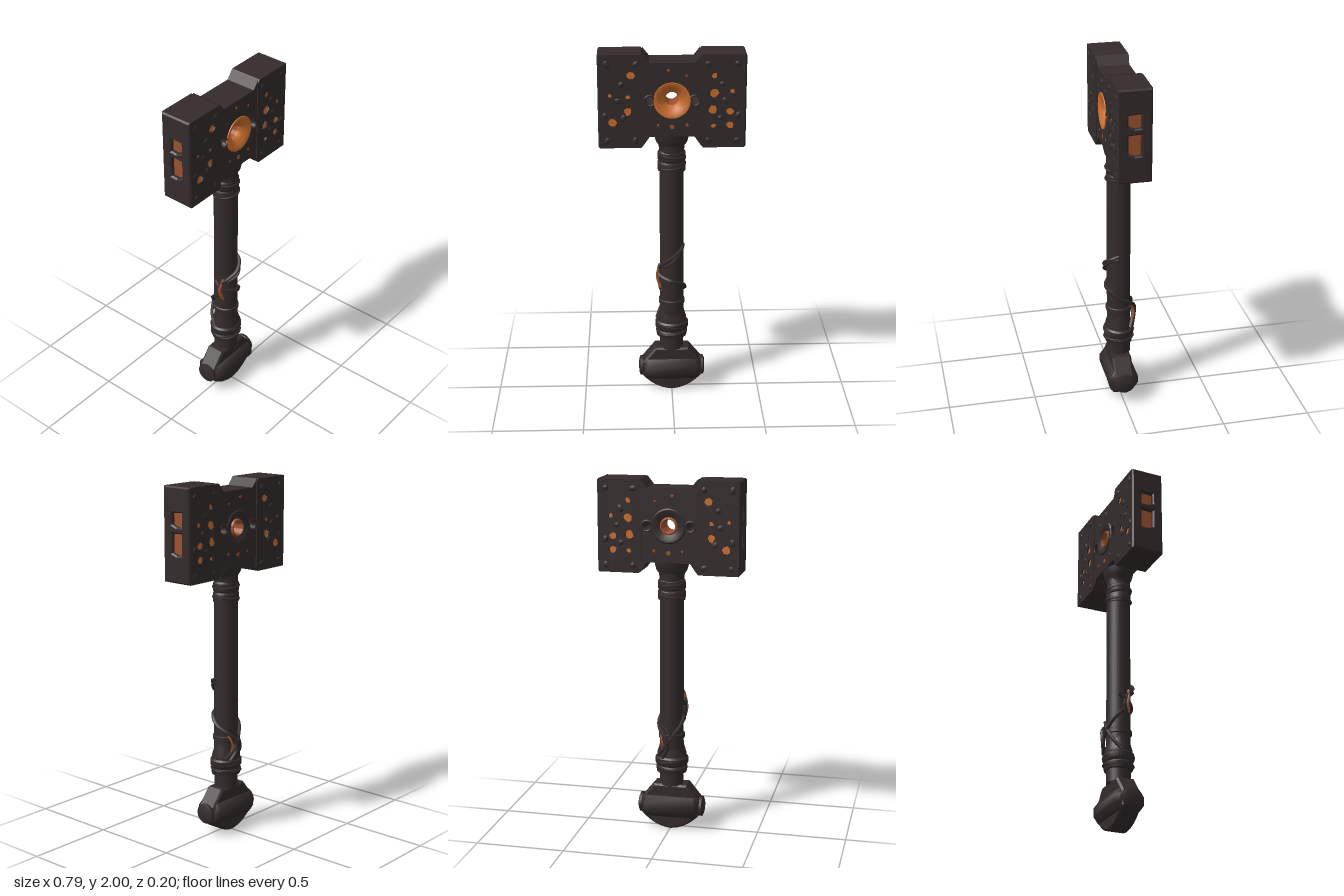
import * as THREE from 'three';
import { toCreasedNormals } from 'three/addons/utils/BufferGeometryUtils.js';

export function createModel() {
  const model = new THREE.Group();
  model.name = 'warHammer';
  const material = (name, color) => {
    const m = new THREE.MeshStandardMaterial({ color, side: THREE.DoubleSide });
    m.name = name;
    return m;
  };
  const iron = material('darkIron', 0x342b2c);
  const ember = material('emberOrange', 0xcc6e2e);
  const rust = material('rustOrange', 0x9c5230);

  let seed = 7;
  const rand = () => (seed = (seed * 16807) % 2147483647) / 2147483647;
  const add = (name, geo, mat = iron, parent = model) => {
    const mesh = new THREE.Mesh(geo, mat);
    mesh.name = name;
    parent.add(mesh);
    return mesh;
  };
  const poly = (pts, Type = THREE.Shape) => new Type(pts.map(p => new THREE.Vector2(...p)));
  // Slab centred on z = 0, bevelled inside its outline
  const slab = (shape, depth, bevel = 0) => new THREE.ExtrudeGeometry(shape, {
    depth: depth - 2 * bevel, bevelEnabled: bevel > 0, bevelSize: bevel, bevelOffset: -bevel,
    bevelThickness: bevel, bevelSegments: 1, curveSegments: 24,
  }).translate(0, 0, -depth / 2 + bevel);
  const circle = (x, y, r) => new THREE.Path().absarc(x, y, r, 0, Math.PI * 2, true);
  // Irregular seven-sided outline
  const chip = (x, y, r, Type) => poly(Array.from({ length: 7 }, (_, i) => {
    const a = i / 7 * Math.PI * 2, k = r * (0.8 + 0.4 * rand());
    return [x + Math.cos(a) * k, y + Math.sin(a) * k];
  }), Type);
  const lathe = (pts, seg = 28) => toCreasedNormals(
    new THREE.LatheGeometry(pts.map(p => new THREE.Vector2(...p)), seg), 0.6);

  // Head: two end blocks with shallow broken pits over glowing cores
  const head = new THREE.Group();
  head.name = 'head';
  model.add(head);
  const pits = {
    right: [[0.225, 1.885, 0.016], [0.225, 1.79, 0.024], [0.215, 1.7, 0.024], [0.31, 1.69, 0.02],
      [0.22, 1.61, 0.013], [0.31, 1.615, 0.02], [0.32, 1.8, 0.014]],
    left: [[-0.22, 1.885, 0.022], [-0.33, 1.78, 0.011], [-0.235, 1.77, 0.013],
      [-0.235, 1.69, 0.022], [-0.32, 1.63, 0.024]],
  };
  for (const [side, s] of [['right', 1], ['left', -1]]) {
    const block = poly([[0.15, 1.51], [0.165, 1.49], [0.369, 1.49], [0.369, 2], [0.165, 2], [0.15, 1.985]]
      .map(([x, y]) => [s * x, y]));
    block.holes = pits[side].map(p => chip(...p, THREE.Path));
    add(side + 'Block', slab(block, 0.184), iron, head);
    add(side + 'Core', new THREE.BoxGeometry(0.2, 0.42, 0.168), [rust, rust, ember, ember, ember, ember], head)
      .position.set(s * 0.272, 1.75, 0);

    // End plate with two windows
    const plate = poly([[-0.092, 1.49], [0.092, 1.49], [0.092, 2], [-0.092, 2]]);
    plate.holes = [[1.64, 1.755], [1.79, 1.865]].map(([a, b]) =>
      poly([[-0.034, a + 0.01], [0, a - 0.003], [0.034, a], [0.034, b], [-0.034, b - 0.004]], THREE.Path));
    add(side + 'EndPlate', slab(plate, 0.036, 0.008).rotateY(Math.PI / 2), iron, head).position.x = s * 0.377;

    // Low lumps beside the pits and at the corners, on both faces
    const spots = [[0.19, 1.95], [0.345, 1.95], [0.19, 1.53], [0.345, 1.53], [0.28, 1.75], [0.35, 1.67],
      [0.255, 1.655], [0.265, 1.84]];
    for (const [x, y] of spots) for (const f of [1, -1]) {
      const lump = add('lump', new THREE.IcosahedronGeometry(0.016, 1), iron, head);
      lump.position.set(s * (x + 0.008 * rand()), y, f * 0.09);
      lump.scale.set(1, 0.8 + 0.7 * rand(), 0.5);
      lump.rotation.z = rand() * 3;
    }
    // Rims around the small through holes
    for (const f of [1, -1]) {
      add('smallHoleRim', new THREE.TorusGeometry(0.028, 0.006, 6, 20), iron, head)
        .position.set(s * 0.12, 1.75, f * 0.086);
    }
  }

  // Head centre with chamfered shoulders, main eye and two small holes
  const centre = poly([[-0.12, 1.55], [0.12, 1.55], [0.155, 1.5], [0.155, 2], [0.12, 1.955],
    [-0.12, 1.955], [-0.155, 2], [-0.155, 1.5]]);
  centre.holes = [circle(0, 1.75, 0.092), circle(0.12, 1.75, 0.022), circle(-0.12, 1.75, 0.022)];
  add('headCentre', slab(centre, 0.174), iron, head);
  const eyePart = (name, pts, mat) =>
    add(name, lathe(pts, 32).rotateX(Math.PI / 2), mat, head).position.y = 1.75;
  eyePart('eyeRing', [[0.036, 0.045], [0.042, 0.062], [0.055, 0.074], [0.075, 0.084], [0.09, 0.092],
    [0.098, 0.092], [0.1, 0.084]], ember);
  eyePart('eyeBore', [[0.05, -0.075], [0.046, -0.088], [0.04, -0.09], [0.036, -0.082], [0.036, 0.045]], rust);
  eyePart('backEyeRim', [[0.1, -0.084], [0.09, -0.093], [0.075, -0.092], [0.048, -0.076], [0.036, -0.072]], iron);
  // Small flecks on the centre faces
  for (const [x, y, r] of [[0, 1.605, 0.013], [-0.075, 1.615, 0.007], [0.08, 1.615, 0.009],
    [-0.02, 1.915, 0.008], [0.075, 1.885, 0.007]]) {
    add('fleck', slab(chip(x, y, r), 0.177), rust, head);
  }

  // Shaft and collars
  add('shaft', new THREE.CylinderGeometry(0.066, 0.067, 1.3, 28).translate(0, 0.91, 0));
  add('upperCollar', lathe([[0.06, 1.33], [0.076, 1.335], [0.078, 1.38], [0.072, 1.39], [0.078, 1.4],
    [0.076, 1.44], [0.068, 1.45], [0.072, 1.48], [0.086, 1.5], [0.094, 1.53], [0.1, 1.56]]))
    .scale.z = 0.88;
  add('lowerCollar', lathe([[0.06, 0.33], [0.085, 0.335], [0.09, 0.365], [0.084, 0.375], [0.094, 0.39],
    [0.094, 0.42], [0.084, 0.43], [0.084, 0.445], [0.07, 0.49], [0.066, 0.53]])).scale.z = 0.9;
  add('shaftRing', lathe([[0.06, 0.53], [0.073, 0.538], [0.073, 0.562], [0.06, 0.57]]));
  add('neck', new THREE.CylinderGeometry(0.066, 0.066, 0.12, 8).translate(0, 0.29, 0)).scale.z = 0.8;
  // Tilted wrappings on the collars
  for (const [y, r, tilt] of [[1.355, 0.071, 0.1], [1.42, 0.071, -0.1], [0.36, 0.082, 0.1], [0.405, 0.083, -0.12]]) {
    const wrap = add('wrapping', new THREE.TorusGeometry(r, 0.007, 6, 28));
    wrap.rotation.set(Math.PI / 2, tilt, 0);
    wrap.position.y = y;
  }

  // Pommel: curved foot, rounded belt and end knobs
  const foot = poly([[-0.168, 0.09], [-0.168, 0.175], [-0.095, 0.265], [0.095, 0.265], [0.168, 0.175], [0.168, 0.09]]);
  foot.quadraticCurveTo(0.09, 0.005, 0, 0);
  foot.quadraticCurveTo(-0.09, 0.005, -0.168, 0.09);
  add('pommel', slab(foot, 0.11, 0.01));
  const belt = poly([[0.084, 0.11], [0.084, 0.155], [0.055, 0.195], [-0.055, 0.195], [-0.084, 0.155],
    [-0.084, 0.11], [-0.055, 0.07], [0.055, 0.07]]);
  add('pommelBelt', toCreasedNormals(slab(belt, 0.32, 0.02), 1).rotateY(Math.PI / 2));
  for (const s of [1, -1]) {
    const knob = add('pommelKnob', lathe([[0.045, -0.02], [0.058, -0.008], [0.058, 0.006], [0.04, 0.013], [0, 0.015]], 14));
    knob.rotation.z = -s * Math.PI / 2;
    knob.position.set(s * 0.175, 0.133, 0);
  }

  // Vines around the shaft; points are [angle in degrees, radius, height]
  const vine = (name, pts, r, mat) => add(name, new THREE.TubeGeometry(new THREE.CatmullRomCurve3(
    pts.map(([a, d, y]) => new THREE.Vector3(d * Math.cos(a * Math.PI / 180), y, d * Math.sin(a * Math.PI / 180)))),
    48, r, 6), mat);
  vine('upperVine', [[10, 0.062, 0.9], [45, 0.074, 0.88], [90, 0.082, 0.84], [135, 0.076, 0.79], [165, 0.074, 0.75],
    [175, 0.074, 0.69], [150, 0.07, 0.63]], 0.011, iron);
  vine('upperLoop', [[10, 0.062, 0.88], [55, 0.074, 0.86], [90, 0.084, 0.81], [130, 0.07, 0.77]], 0.009, iron);
  vine('lowerVine', [[200, 0.07, 0.76], [160, 0.076, 0.72], [90, 0.075, 0.695], [40, 0.073, 0.67], [0, 0.074, 0.63],
    [-50, 0.08, 0.59], [-80, 0.09, 0.55], [-85, 0.088, 0.49], [-60, 0.08, 0.43]], 0.011, iron);
  vine('backVine', [[165, 0.07, 0.68], [210, 0.074, 0.63], [250, 0.076, 0.57], [285, 0.082, 0.5], [320, 0.085, 0.44]],
    0.011, iron);
  vine('crossVine', [[300, 0.072, 0.62], [260, 0.076, 0.56], [225, 0.08, 0.49], [190, 0.086, 0.43]], 0.01, iron);
  vine('leftRustVine', [[150, 0.068, 0.79], [160, 0.08, 0.75], [166, 0.084, 0.71], [160, 0.078, 0.67], [150, 0.066, 0.63]],
    0.009, rust);
  vine('rightRustVine', [[-48, 0.076, 0.58], [-62, 0.09, 0.545], [-66, 0.09, 0.51], [-58, 0.08, 0.47]], 0.006, rust);
  return model;
}
